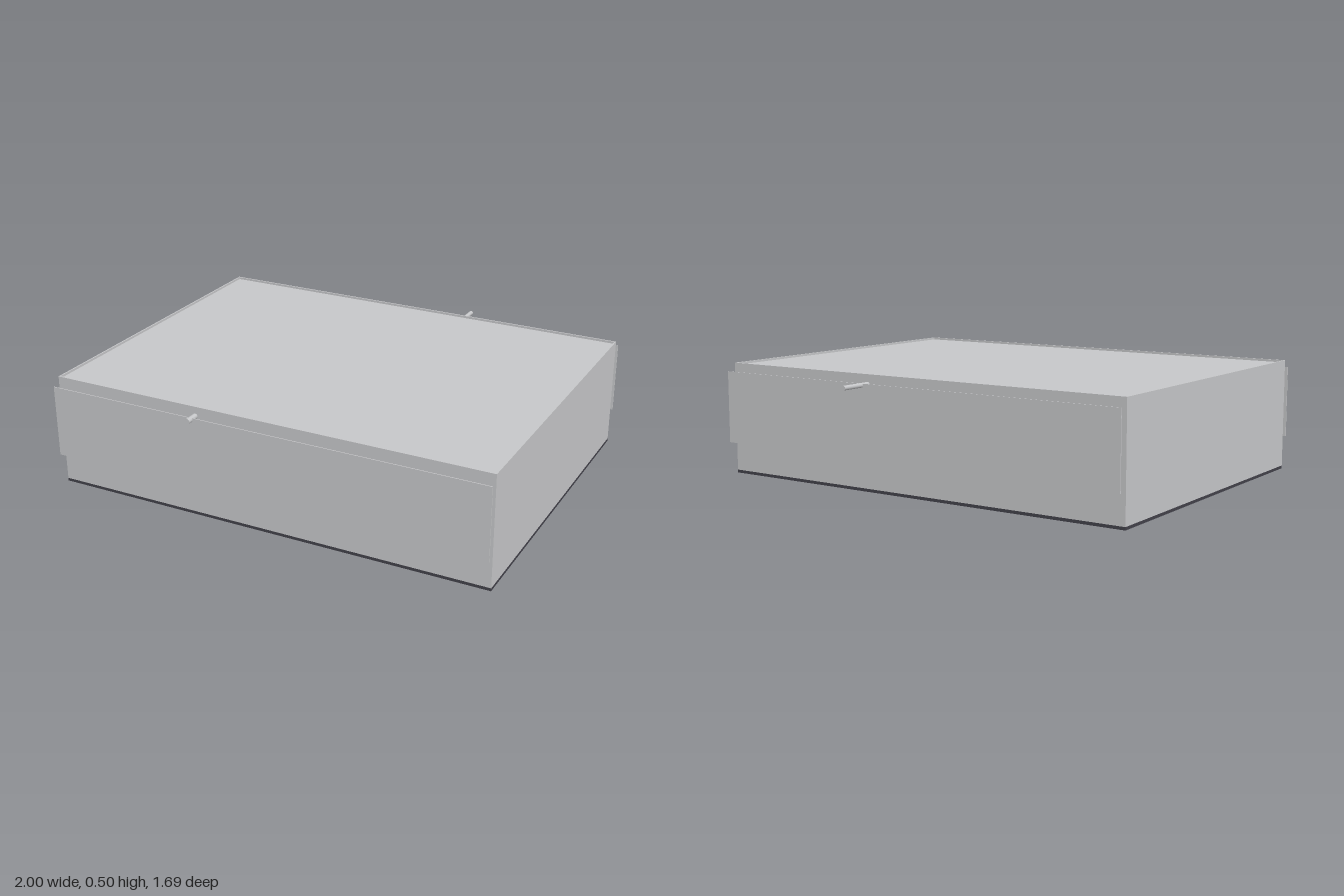
import * as THREE from 'three';

export function createModel() {
  const model = new THREE.Group();
  const grey = new THREE.MeshStandardMaterial({ color: 0xc6c7c9 });
  grey.name = 'light grey';
  const dark = new THREE.MeshStandardMaterial({ color: 0x42414a });
  dark.name = 'dark grey';

  const front = 0.785, back = -0.69, height = 0.5, baseTop = 0.013;
  const rim = 0.006, recess = 0.01;

  // Box given by its lower and upper corners
  function block(name, material, [x0, y0, z0], [x1, y1, z1]) {
    const mesh = new THREE.Mesh(new THREE.BoxGeometry(x1 - x0, y1 - y0, z1 - z0), material);
    mesh.position.set((x0 + x1) / 2, (y0 + y1) / 2, (z0 + z1) / 2);
    mesh.name = name;
    model.add(mesh);
  }

  // Dark base slab and the grey body with its slightly sunken top
  block('base', dark, [-1, 0, back], [1, baseTop, front]);
  block('body', grey, [-1 + rim, baseTop, back + rim], [1 - rim, height - recess, front - rim]);

  // Thin outer walls standing just above the top panel
  block('frontWall', grey, [-1, baseTop, front - rim], [1, height, front]);
  block('backWall', grey, [-1, baseTop, back], [1, height, back + rim]);
  for (const [name, x] of [['rightWall', -1], ['leftWall', 1 - rim]])
    block(name, grey, [x, baseTop, back + rim], [x + rim, height, front - rim]);

  // Thin panels hanging clear of the front and back walls
  for (const [name, z] of [['frontPanel', 0.82], ['backPanel', -0.731]])
    block(name, grey, [-1, 0.145, z - 0.002], [1, 0.465, z + 0.002]);

  // Pins that pass through the panels
  function pin(name, x, y, z0, z1, radius) {
    const geometry = new THREE.CylinderGeometry(radius, radius, z1 - z0, 16).rotateX(Math.PI / 2);
    const mesh = new THREE.Mesh(geometry, grey);
    mesh.position.set(x, y, (z0 + z1) / 2);
    mesh.name = name;
    model.add(mesh);
  }
  pin('frontPin', -0.31, 0.458, front - 0.01, 0.845, 0.012);
  pin('backPin', 0.228, 0.458, -0.845, back + 0.01, 0.01);

  return model;
}
